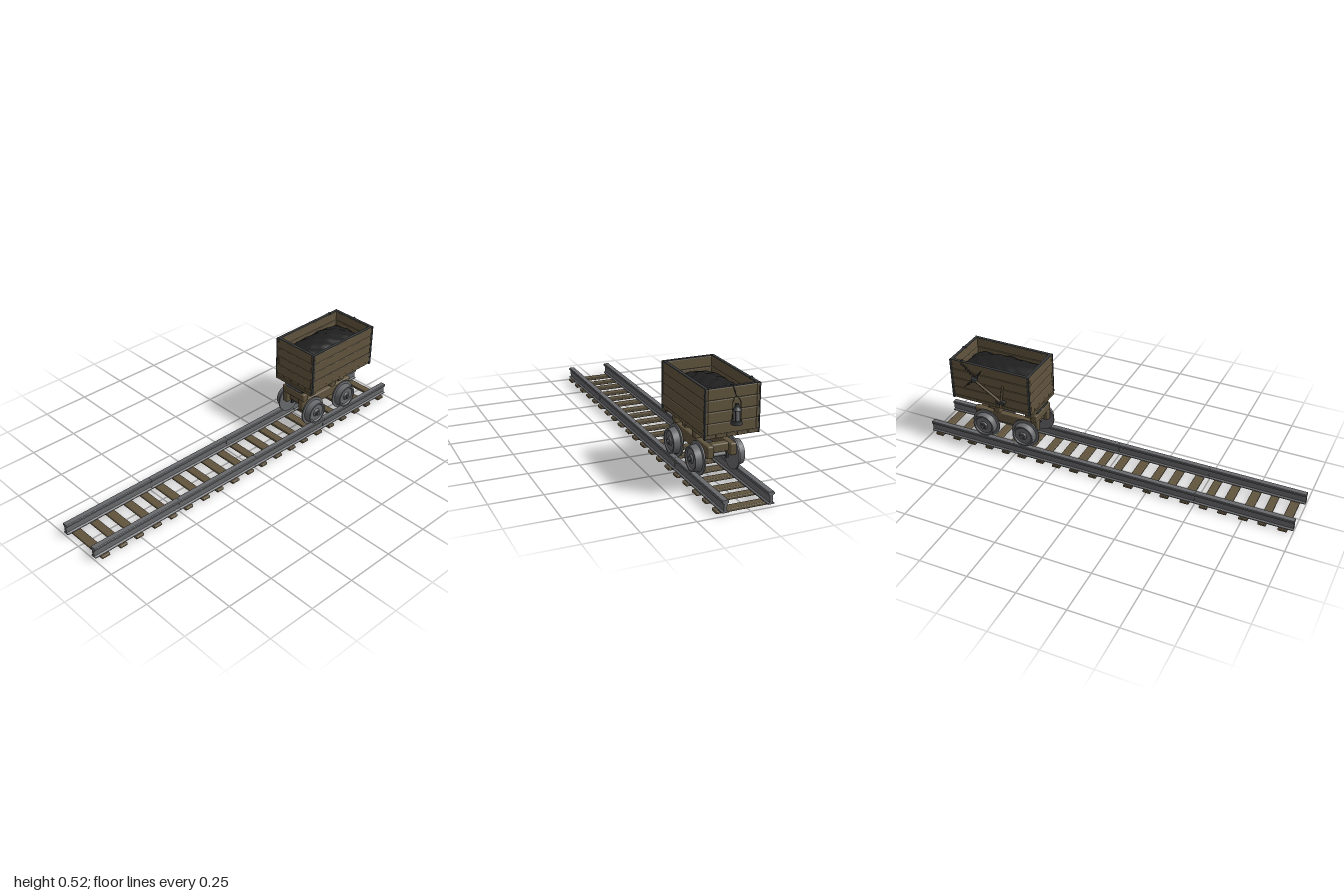
import * as THREE from 'three';
import { toCreasedNormals } from 'three/addons/utils/BufferGeometryUtils.js';
import { RoundedBoxGeometry } from 'three/addons/geometries/RoundedBoxGeometry.js';

const material = (name, color, extra = {}) => {
  const m = new THREE.MeshStandardMaterial({ color, ...extra });
  m.name = name;
  return m;
};

export function createModel() {
  const wood = material('wood', 0x60543d);
  const steel = material('steel', 0x68696c);
  const iron = material('dark iron', 0x37393a);
  const coalBlack = material('coal', 0x1f1f20, { side: THREE.DoubleSide });

  const model = new THREE.Group();
  model.name = 'mineCartOnTrack';
  const CX = 0.0105; // centre line of track and cart

  const group = (name, parent = model) => {
    const g = new THREE.Group();
    g.name = name;
    parent.add(g);
    return g;
  };
  const add = (parent, name, geo, mat, x = 0, y = 0, z = 0) => {
    const mesh = new THREE.Mesh(geo, mat);
    mesh.name = name;
    mesh.position.set(x, y, z);
    parent.add(mesh);
    return mesh;
  };
  // Box given by its limits, with optionally rounded edges
  const block = (parent, name, mat, [x0, x1], [y0, y1], [z0, z1], r = 0) => {
    const s = [x1 - x0, y1 - y0, z1 - z0];
    const geo = r ? new RoundedBoxGeometry(...s, 2, r) : new THREE.BoxGeometry(...s);
    return add(parent, name, geo, mat, (x0 + x1) / 2, (y0 + y1) / 2, (z0 + z1) / 2);
  };
  const tube = (parent, name, mat, points, radius) => add(parent, name,
    new THREE.TubeGeometry(new THREE.CatmullRomCurve3(points.map(p => new THREE.Vector3(...p))), 20, radius, 6), mat);

  // ---- Track: ties and four lengths of I-shaped rail per side
  const track = group('track');
  for (let i = 0; i < 20; i++) {
    const z = -0.95 + i * 0.1 + 0.004 * Math.sin(i * 2.3);
    const w = 0.022 + 0.0015 * Math.sin(i * 4.1);
    const end = 0.002 * Math.abs(Math.sin(i * 1.7));
    block(track, 'tie', wood, [-0.123 + end, 0.148 - end], [0, 0.0145], [z - w, z + w], 0.004);
  }
  const half = [[0.0155, 0.014], [0.0155, 0.018], [0.007, 0.023], [0.007, 0.055], [0.0155, 0.059], [0.0155, 0.068], [0.0125, 0.071]];
  const railShape = new THREE.Shape(
    [...half, ...half.slice().reverse().map(([x, y]) => [-x, y])].map(p => new THREE.Vector2(...p)));
  const railGeo = new THREE.ExtrudeGeometry(railShape, { depth: 0.499, bevelEnabled: false });
  for (const side of [-1, 1])
    for (let i = 0; i < 4; i++)
      add(track, 'rail', railGeo, steel, CX + side * 0.108, 0, -1 + i * 0.5 + 0.0005);

  // ---- Wheels and axles
  const cart = group('cart');
  const axleY = 0.134, axleZ = [-0.445, -0.676];
  const profile = [[0, 0], [0.078, 0], [0.078, 0.007], [0.0635, 0.008], [0.0585, 0.04], [0.051, 0.04],
    [0.046, 0.033], [0.022, 0.033], [0.017, 0.041], [0, 0.041]].map(p => new THREE.Vector2(...p));
  const wheelGeo = toCreasedNormals(new THREE.LatheGeometry(profile, 32), 0.6);
  const nutGeo = new THREE.CylinderGeometry(0.011, 0.011, 0.007, 6).rotateZ(Math.PI / 2);
  for (const z of axleZ) {
    const set = group('wheelSet', cart);
    set.position.set(CX, axleY, z);
    add(set, 'axle', new THREE.CylinderGeometry(0.009, 0.009, 0.264, 12).rotateZ(Math.PI / 2), steel);
    for (const side of [-1, 1]) {
      add(set, 'wheel', wheelGeo, steel, side * 0.081).rotation.z = -side * Math.PI / 2;
      add(set, 'axleNut', nutGeo, iron, side * 0.126);
    }
  }

  // ---- Undercarriage: beams, bolsters and straps
  const frame = group('undercarriage', cart);
  for (const side of [-1, 1]) {
    const x = CX + side * 0.0555;
    block(frame, 'sideBeam', wood, [x - 0.016, x + 0.016], [0.15, 0.208], [-0.75, -0.38], 0.007);
    for (const z of axleZ)
      block(frame, 'axleBracket', iron, [x - 0.005, x + 0.005], [0.117, 0.155], [z - 0.014, z + 0.014]);
  }
  for (const z of [-0.42, -0.71])
    block(frame, 'crossBeam', wood, [CX - 0.042, CX + 0.042], [0.166, 0.207], [z - 0.02, z + 0.02], 0.006);
  for (const z of [-0.4, -0.614]) {
    block(frame, 'bolster', wood, [-0.067, 0.087], [0.206, 0.248], [z - 0.019, z + 0.019], 0.006);
    block(frame, 'strapFoot', iron, [CX - 0.054, CX + 0.054], [0.247, 0.25], [z - 0.014, z + 0.014]);
    for (const side of [-1, 1]) {
      const arm = add(frame, 'strapArm', new THREE.BoxGeometry(0.003, 0.022, 0.028), iron, CX + side * 0.059, 0.257, z);
      arm.rotation.z = -side * 0.6;
    }
    block(frame, 'crossBearer', wood, [-0.118, 0.136], [0.265, 0.281], [z - 0.018, z + 0.018], 0.003);
  }

  // ---- Plank box
  const box = group('box', cart);
  const X0 = -0.119, X1 = 0.14, Z0 = -0.836, Z1 = -0.386, T = 0.015;
  for (let i = 0; i < 5; i++) {
    const x = X0 + 0.002 + i * 0.051;
    block(box, 'floorPlank', wood, [x, x + 0.0505], [0.28, 0.298], [Z0 + 0.002, Z1 - 0.002], 0.003);
  }
  for (let i = 0; i < 4; i++) {
    const y = [0.2975 + i * 0.0517, 0.2975 + i * 0.0517 + 0.051];
    const n = 0.001 * Math.sin(i * 2.6 + 1);
    for (const [a, b] of [[X0, X0 + T], [X1 - T, X1]])
      block(box, 'sidePlank', wood, [a + n, b + n], y, [Z0, Z1], 0.004);
    for (const [a, b] of [[Z0, Z0 + T], [Z1 - T, Z1]])
      block(box, 'endPlank', wood, [X0 + T - 0.002, X1 - T + 0.002], y, [a + n, b + n], 0.004);
  }

  // Iron corner angles with studs, and a thin rim
  const studGeo = new THREE.SphereGeometry(0.0035, 8, 6);
  for (const [x, sx] of [[X0, 1], [X1, -1]])
    for (const [z, sz] of [[Z0, 1], [Z1, -1]]) {
      const span = (p, s, w) => [p - s * 0.002, p + s * w].sort((a, b) => a - b);
      block(box, 'cornerAngle', iron, span(x, sx, 0.004), [0.28, 0.506], span(z, sz, 0.01));
      block(box, 'cornerAngle', iron, span(x, sx, 0.004), [0.28, 0.506], span(z, sz, 0.004));
      for (let i = 0; i < 4; i++)
        add(box, 'stud', studGeo, iron, x - sx * 0.001, 0.323 + i * 0.052, z + sz * 0.006);
    }
  for (const x of [X0, X1 - T])
    block(box, 'rim', iron, [x, x + T], [0.504, 0.507], [Z0, Z1]);
  for (const z of [Z0, Z1 - T])
    block(box, 'rim', iron, [X0 + T, X1 - T], [0.504, 0.507], [z, z + T]);

  // ---- Heaped coal
  const coalGeo = new THREE.PlaneGeometry(X1 - X0 - 2 * T + 0.004, Z1 - Z0 - 2 * T + 0.004, 12, 20).rotateX(-Math.PI / 2);
  const p = coalGeo.attributes.position;
  for (let i = 0; i < p.count; i++) {
    const u = p.getX(i) / 0.116, v = p.getZ(i) / 0.212;
    const heap = Math.max(0, 1 - u * u) * Math.max(0, 1 - v * v);
    p.setY(i, 0.42 + 0.055 * Math.sqrt(heap) + 0.005 * Math.sin(u * 9 + v * 4) * Math.cos(v * 13));
  }
  coalGeo.computeVertexNormals();
  add(cart, 'coal', coalGeo, coalBlack, (X0 + X1) / 2, 0, (Z0 + Z1) / 2);

  // ---- Pickaxe hung on the right side
  const pick = group('pickaxe', cart);
  const hx = -0.135;
  const handle = add(pick, 'pickHandle', new THREE.CylinderGeometry(0.006, 0.008, 0.2, 8), wood, hx, 0.376, -0.61);
  handle.rotation.x = -Math.atan2(0.17, 0.11);
  block(pick, 'pickCollar', iron, [-0.147, -0.123], [0.417, 0.443], [-0.704, -0.676], 0.005);
  for (const [dy, dz, len] of [[0.068, 0.05, 0.085], [-0.06, -0.062, 0.087]]) {
    const spike = add(pick, 'pickSpike', new THREE.ConeGeometry(0.009, len, 8), iron, hx, 0.43 + dy / 2, -0.69 + dz / 2);
    spike.rotation.x = Math.atan2(dz, dy);
  }
  // Hammer hanging next to it
  const hammer = group('hammer', cart);
  const shaft = add(hammer, 'hammerHandle', new THREE.CylinderGeometry(0.006, 0.007, 0.13, 8), wood, -0.131, 0.36, -0.54);
  shaft.rotation.x = 0.15;
  block(hammer, 'hammerHead', iron, [-0.144, -0.122], [0.323, 0.341], [-0.57, -0.52], 0.004);

  // Hook and chain over the rim
  const chain = group('chain', cart);
  add(chain, 'hook', new THREE.TorusGeometry(0.007, 0.0025, 6, 12), iron, -0.11, 0.507, -0.77);
  for (let i = 0; i < 6; i++) {
    const link = add(chain, 'chainLink', new THREE.TorusGeometry(0.006, 0.0017, 5, 10), iron,
      -0.122 - 0.0015 * i, 0.498 - i * 0.01, -0.765 + i * 0.013);
    link.rotation.y = (i % 2) * Math.PI / 2;
  }

  // ---- Lantern on the back
  const lantern = group('lantern', cart);
  lantern.position.set(0.006, 0, -0.864);
  const ring = (name, r0, r1, y0, y1, mat = iron) => add(lantern, name,
    new THREE.CylinderGeometry(r1, r0, y1 - y0, 14), mat, 0, (y0 + y1) / 2, 0);
  ring('lanternBase', 0.026, 0.023, 0.345, 0.362);
  ring('lanternGlass', 0.015, 0.013, 0.362, 0.407, steel);
  ring('lanternCap', 0.021, 0.01, 0.407, 0.422);
  ring('lanternChimney', 0.01, 0.009, 0.422, 0.436);
  for (let i = 0; i < 4; i++) {
    const a = Math.PI / 4 + i * Math.PI / 2;
    add(lantern, 'lanternBar', new THREE.CylinderGeometry(0.0018, 0.0018, 0.05, 6), iron,
      0.018 * Math.cos(a), 0.385, 0.018 * Math.sin(a));
  }
  tube(lantern, 'lanternHandle', iron,
    [[-0.019, 0.41, 0], [-0.018, 0.445, 0.003], [0, 0.467, 0.008], [0.018, 0.445, 0.003], [0.019, 0.41, 0]], 0.002);
  tube(lantern, 'lanternHook', iron,
    [[0.006, 0.505, 0.05], [0.006, 0.511, 0.03], [0.004, 0.495, 0.02], [0, 0.468, 0.008]], 0.0025);

  return model;
}
